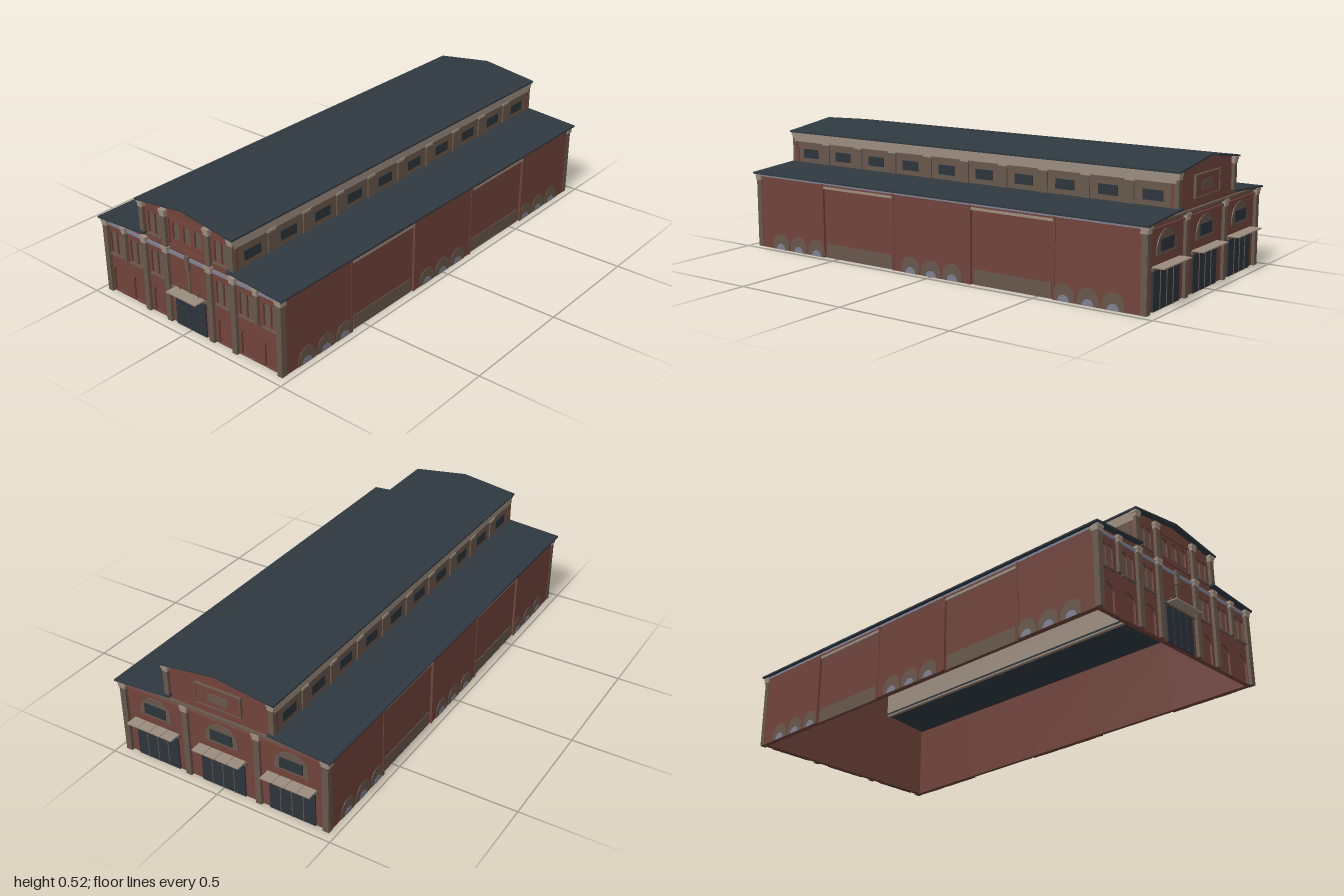
import * as THREE from 'three';

export function createModel() {
  const model = new THREE.Group();
  model.name = 'marketHall';
  const mat = (name, color) => {
    const m = new THREE.MeshStandardMaterial({ color });
    m.name = name;
    return m;
  };
  const brick = mat('red brick', 0x70433b);
  const brown = mat('brown stone', 0x67574b);
  const beige = mat('beige trim', 0x9b8c7e);
  const slate = mat('slate roof', 0x2f3940);
  const dark = mat('dark panels', 0x2b343b);
  const lead = mat('grey blue band', 0x7f8090);

  const add = (name, geo, material, parent = model) => {
    const m = new THREE.Mesh(geo, material);
    m.name = name;
    parent.add(m);
    return m;
  };
  // Box given by centre x, bottom y, centre z
  const box = (name, material, x, y, z, w, h, d, parent = model) => {
    const m = add(name, new THREE.BoxGeometry(w, h, d), material, parent);
    m.position.set(x, y + h / 2, z);
    return m;
  };
  // Round-headed outline
  const arch = (x, y, w, h, Type = THREE.Shape) => {
    const r = w / 2, s = new Type();
    s.moveTo(x - r, y);
    s.lineTo(x + r, y);
    s.lineTo(x + r, y + h - r);
    s.absarc(x, y + h - r, r, 0, Math.PI, false);
    s.closePath();
    return s;
  };
  const extrude = (shape, depth) =>
    new THREE.ExtrudeGeometry(shape, { depth, bevelEnabled: false, curveSegments: 8 });
  const gable = () => new THREE.Shape([
    [-0.468, 0], [0.468, 0], [0.468, 0.32], [0.245, 0.34], [0.245, 0.478],
    [0, 0.51], [-0.245, 0.478], [-0.245, 0.34], [-0.468, 0.32],
  ].map(p => new THREE.Vector2(...p)));

  // Roofs: sloped slabs running the whole length
  const roof = (name, pts) => {
    const t = 0.007;
    const outline = [...pts, ...pts.map(([x, y]) => [x, y - t]).reverse()];
    const g = extrude(new THREE.Shape(outline.map(p => new THREE.Vector2(...p))), 1.94);
    add(name, g.translate(0, 0, -0.97), slate);
  };
  roof('upperRoof', [[-0.255, 0.485], [0, 0.52], [0.255, 0.485]]);
  roof('leftAisleRoof', [[0.22, 0.349], [0.486, 0.329]]);
  roof('rightAisleRoof', [[-0.486, 0.329], [-0.22, 0.349]]);

  // Pilaster with a stepped capital on an end wall
  const pilaster = (parent, x, y, top, w, z) => {
    box('pilaster', brown, x, y, z, w, top - y - 0.02, 0.018, parent);
    box('capitalNeck', beige, x, top - 0.027, z, w + 0.004, 0.014, 0.022, parent);
    box('capital', beige, x, top - 0.013, z, w + 0.009, 0.013, 0.027, parent);
  };

  // Front wall with sunk arches and paired windows
  const front = new THREE.Group();
  front.name = 'frontWall';
  model.add(front);
  add('frontBacking', extrude(gable(), 0.01).translate(0, 0, 0.928), brick, front);
  const face = gable();
  const pane = (shape) =>
    add('windowPane', new THREE.ShapeGeometry(shape, 8).translate(0, 0, 0.9395), brown, front);
  const pairedWindow = (x, y, h) => {
    for (const dx of [-0.018, 0.018]) {
      face.holes.push(arch(x + dx, y, 0.032, h, THREE.Path));
      pane(arch(x + dx, y, 0.032, h));
    }
    box('windowSill', brown, x, y - 0.006, 0.951, 0.075, 0.006, 0.01, front);
  };
  for (const s of [-1, 1]) {
    for (const x of [0.41, 0.293, 0.175]) {
      face.holes.push(arch(s * x, 0.003, 0.068, 0.115, THREE.Path));
      pairedWindow(s * x, 0.175, 0.1);
    }
    pairedWindow(s * 0.175, 0.35, 0.092);
    pilaster(front, s * 0.46, 0, 0.322, 0.024, 0.952);
    pilaster(front, s * 0.35, 0.175, 0.322, 0.017, 0.952);
    pilaster(front, s * 0.235, 0, 0.325, 0.024, 0.952);
    pilaster(front, s * 0.115, 0, 0.325, 0.024, 0.952);
    pilaster(front, s * 0.235, 0.35, 0.48, 0.022, 0.952);
    pilaster(front, s * 0.115, 0.325, 0.48, 0.022, 0.952);
  }
  for (const x of [-0.058, 0, 0.058]) {
    face.holes.push(arch(x, 0.366, 0.037, 0.074, THREE.Path));
    pane(arch(x, 0.366, 0.037, 0.074));
  }
  add('frontFace', extrude(face, 0.009).translate(0, 0, 0.938), brick, front);
  box('stringCourse', lead, 0, 0.3, 0.949, 0.92, 0.014, 0.008, front);
  // Raised frame around the three upper windows
  for (const y of [0.338, 0.452]) box('panelRail', brick, 0, y, 0.949, 0.19, 0.005, 0.008, front);
  for (const x of [-0.093, 0.093]) box('panelStile', brick, x, 0.338, 0.949, 0.005, 0.119, 0.008, front);

  // Main entrance, canopy and its strut
  box('entranceDoor', dark, 0, 0, 0.949, 0.16, 0.155, 0.009, front);
  for (const x of [-0.04, 0, 0.04]) box('doorSeam', slate, x, 0, 0.954, 0.002, 0.153, 0.002, front);
  box('canopyBeam', brown, 0, 0.153, 0.951, 0.196, 0.009, 0.014, front);
  box('canopy', beige, 0, 0.158, 0.975, 0.156, 0.005, 0.05, front);
  box('centralStrut', brown, 0, 0.163, 0.949, 0.012, 0.1, 0.008, front);
  box('strutHead', brown, 0, 0.262, 0.952, 0.019, 0.06, 0.016, front);
  for (const x of [-0.05, 0.05]) {
    box('lampRod', brown, x, 0.163, 0.956, 0.003, 0.02, 0.003, front);
    box('lamp', brown, x, 0.18, 0.956, 0.006, 0.009, 0.006, front);
  }

  // Back wall with three loading bays
  const back = new THREE.Group();
  back.name = 'backWall';
  model.add(back);
  add('backFace', extrude(gable(), 0.02).translate(0, 0, -0.948), brick, back);
  for (const x of [-0.31, 0, 0.31]) {
    box('bayDoor', dark, x, 0, -0.95, 0.2, 0.15, 0.008, back);
    for (const dx of [-0.05, 0, 0.05])
      box('bayDoorSeam', brown, x + dx, 0, -0.955, 0.003, 0.15, 0.003, back);
    box('bayLintel', brown, x, 0.152, -0.952, 0.225, 0.011, 0.014, back);
    for (let i = 0; i < 4; i++)
      box('bayCanopy', beige, x - 0.081 + i * 0.054, 0.163, -0.975, 0.052, 0.005, 0.05, back);
    const r = extrude(arch(0, 0, 0.15, 0.09), 0.005);
    add('bayWindowSurround', r, brown, back).position.set(x, 0.2, -0.952);
    box('bayWindow', dark, x, 0.212, -0.954, 0.1, 0.045, 0.004, back);
  }
  for (const x of [-0.458, -0.163, 0.163, 0.458]) pilaster(back, x, 0, 0.322, 0.026, -0.952);
  for (const x of [-0.235, 0.235]) pilaster(back, x, 0.345, 0.48, 0.022, -0.952);
  box('backCornice', brown, 0, 0.318, -0.953, 0.93, 0.01, 0.016, back);
  box('backStringCourse', brick, 0, 0.296, -0.951, 0.93, 0.009, 0.01, back);
  box('gablePanel', brick, 0, 0.365, -0.951, 0.2, 0.085, 0.009, back);
  for (const y of [0.363, 0.448]) box('gablePanelRail', brown, 0, y, -0.953, 0.206, 0.004, 0.012, back);
  for (const x of [-0.101, 0.101])
    box('gablePanelStile', brown, x, 0.363, -0.953, 0.004, 0.089, 0.012, back);
  box('gableWindow', brown, 0, 0.388, -0.956, 0.09, 0.036, 0.003, back);

  // Side aisles and clerestory, mirrored
  for (const s of [-1, 1]) {
    const side = new THREE.Group();
    side.name = s > 0 ? 'leftSide' : 'rightSide';
    model.add(side);
    // Five wall lengths, alternately flush and recessed
    [[0.762, 0.374, 0], [0.383, 0.384, 1], [0, 0.382, 0], [-0.383, 0.384, 1], [-0.762, 0.374, 0]]
      .forEach(([z, len, recessed]) => {
        box('sideWall', brick, s * (recessed ? 0.455 : 0.459), 0, z, recessed ? 0.014 : 0.022, 0.318, len, side);
        if (recessed) {
          box('recessHead', brick, s * 0.465, 0.305, z, 0.01, 0.012, len, side);
          box('recessTrim', beige, s * 0.466, 0.294, z, 0.009, 0.011, len, side);
          box('plinthStrip', brown, s * 0.462, 0, z, 0.006, 0.06, len - 0.03, side);
          return;
        }
        // Low basement windows
        for (const dz of [-0.105, 0, 0.105]) {
          const zz = z - Math.sign(z) * 0.04 + dz;
          const hood = add('basementWindow', extrude(arch(0, 0, 0.094, 0.068), 0.003), brown, side);
          const vent = add('basementVent', extrude(arch(0, 0, 0.05, 0.026), 0.002), lead, side);
          for (const [m, x] of [[hood, 0.469], [vent, 0.471]]) {
            m.rotation.y = s * Math.PI / 2;
            m.position.set(s * x, 0, zz);
          }
        }
      });
    for (const z of [0.575, 0.191, -0.191, -0.575])
      box('wallRib', brick, s * 0.468, 0, z, 0.01, 0.315, 0.009, side);
    for (const z of [0.947, -0.947]) {
      box('cornerPier', brown, s * 0.464, 0, z, 0.016, 0.3, 0.022, side);
      box('cornerCapital', beige, s * 0.466, 0.296, z, 0.022, 0.024, 0.028, side);
    }
    box('eavesBand', lead, s * 0.464, 0.312, 0, 0.016, 0.01, 1.88, side);

    // Clerestory wall, ten windows between piers
    box('clerestoryWall', beige, s * 0.23, 0.335, 0, 0.014, 0.147, 1.88, side);
    box('clerestoryFacing', brown, s * 0.239, 0.335, 0, 0.006, 0.104, 1.88, side);
    box('clerestoryBand', beige, s * 0.241, 0.439, 0, 0.012, 0.042, 1.9, side);
    for (let i = 0; i < 10; i++) {
      const z = -0.855 + i * 0.19;
      box('clerestoryWindow', dark, s * 0.2425, 0.368, z, 0.003, 0.04, 0.085, side);
      if (i) box('clerestoryPier', brown, s * 0.242, 0.335, z - 0.095, 0.012, 0.104, 0.034, side);
      if (i) box('clerestoryPierCap', beige, s * 0.244, 0.434, z - 0.095, 0.014, 0.01, 0.042, side);
    }
  }
  return model;
}
